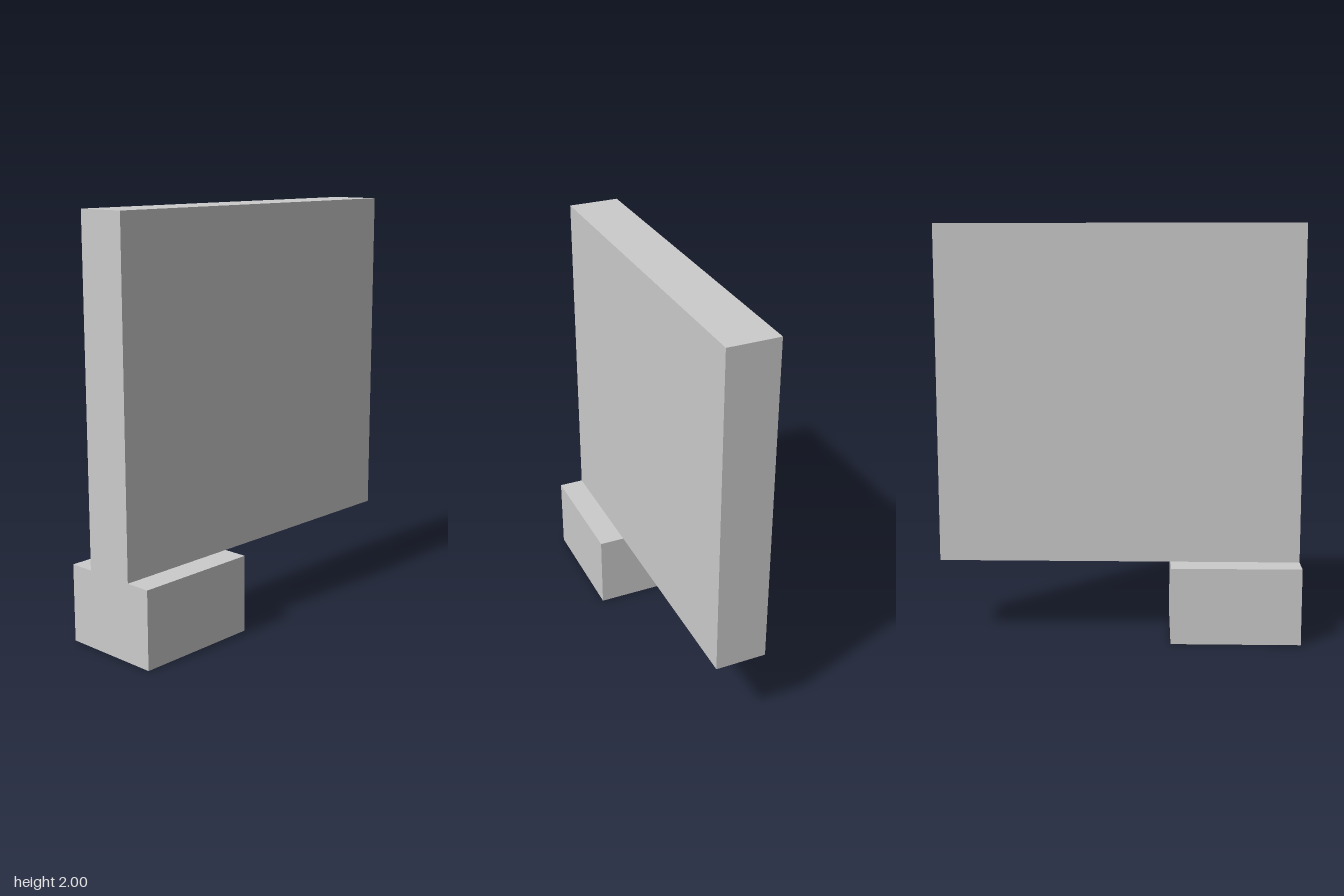
import * as THREE from 'three';

const material = new THREE.MeshStandardMaterial({ color: 0xcccccc, flatShading: true });

// Box given by its lower and upper corners
function block(name, min, max) {
  const size = max.map((v, i) => v - min[i]);
  const mesh = new THREE.Mesh(new THREE.BoxGeometry(...size), material);
  mesh.name = name;
  mesh.position.set(...max.map((v, i) => (v + min[i]) / 2));
  return mesh;
}

export function createModel() {
  const group = new THREE.Group();
  group.name = 'panelOnFoot';
  // Foot block under one end, with the upright slab standing on it
  group.add(block('foot', [-0.875, 0, -0.25], [-0.25, 0.375, 0.25]));
  group.add(block('panel', [-0.875, 0.375, -0.125], [0.875, 2, 0.125]));
  return group;
}
